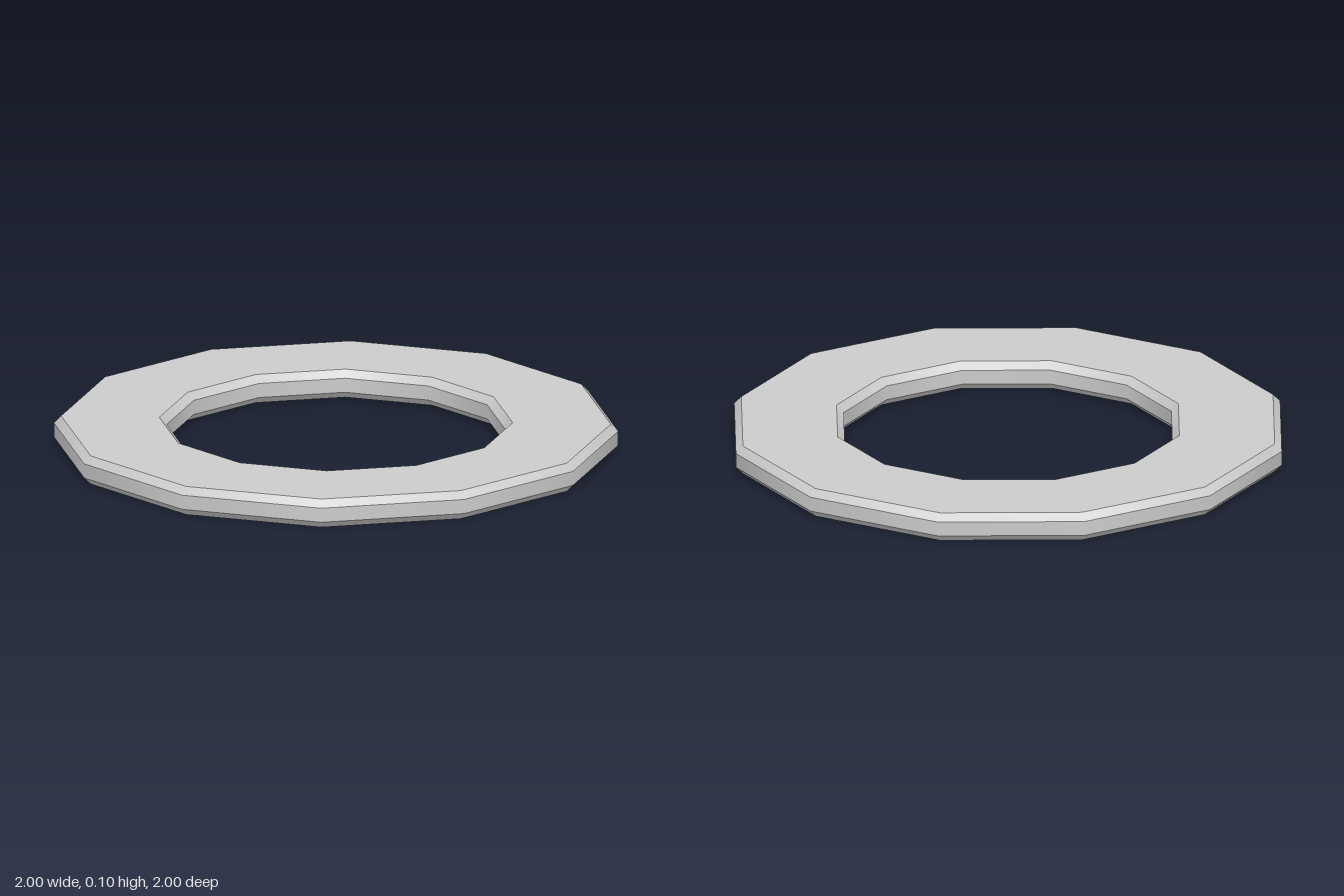
import * as THREE from 'three';
import { mergeGeometries } from 'three/addons/utils/BufferGeometryUtils.js';

const SIDES = 12;
const OUTER = 1, INNER = 0.6, HEIGHT = 0.104, BEVEL = 0.026;

export function createModel() {
  const group = new THREE.Group();
  group.name = 'ring';

  // Closed cross-section: up the outside, inwards over the top, down the hole
  const profile = [
    [OUTER - BEVEL, 0], [OUTER, BEVEL],
    [OUTER, HEIGHT - BEVEL], [OUTER - BEVEL, HEIGHT],
    [INNER + BEVEL, HEIGHT], [INNER, HEIGHT - BEVEL],
    [INNER, BEVEL], [INNER + BEVEL, 0],
  ].map(([r, y]) => new THREE.Vector2(r, y));

  // One lathed band per profile edge: smooth around, crisp between bands
  const bands = profile.map((p, i) =>
    new THREE.LatheGeometry([p, profile[(i + 1) % profile.length]], SIDES));

  const washer = new THREE.Mesh(
    mergeGeometries(bands),
    new THREE.MeshStandardMaterial({ color: 0xcccccc }));
  washer.name = 'bevelledWasher';
  group.add(washer);
  return group;
}
